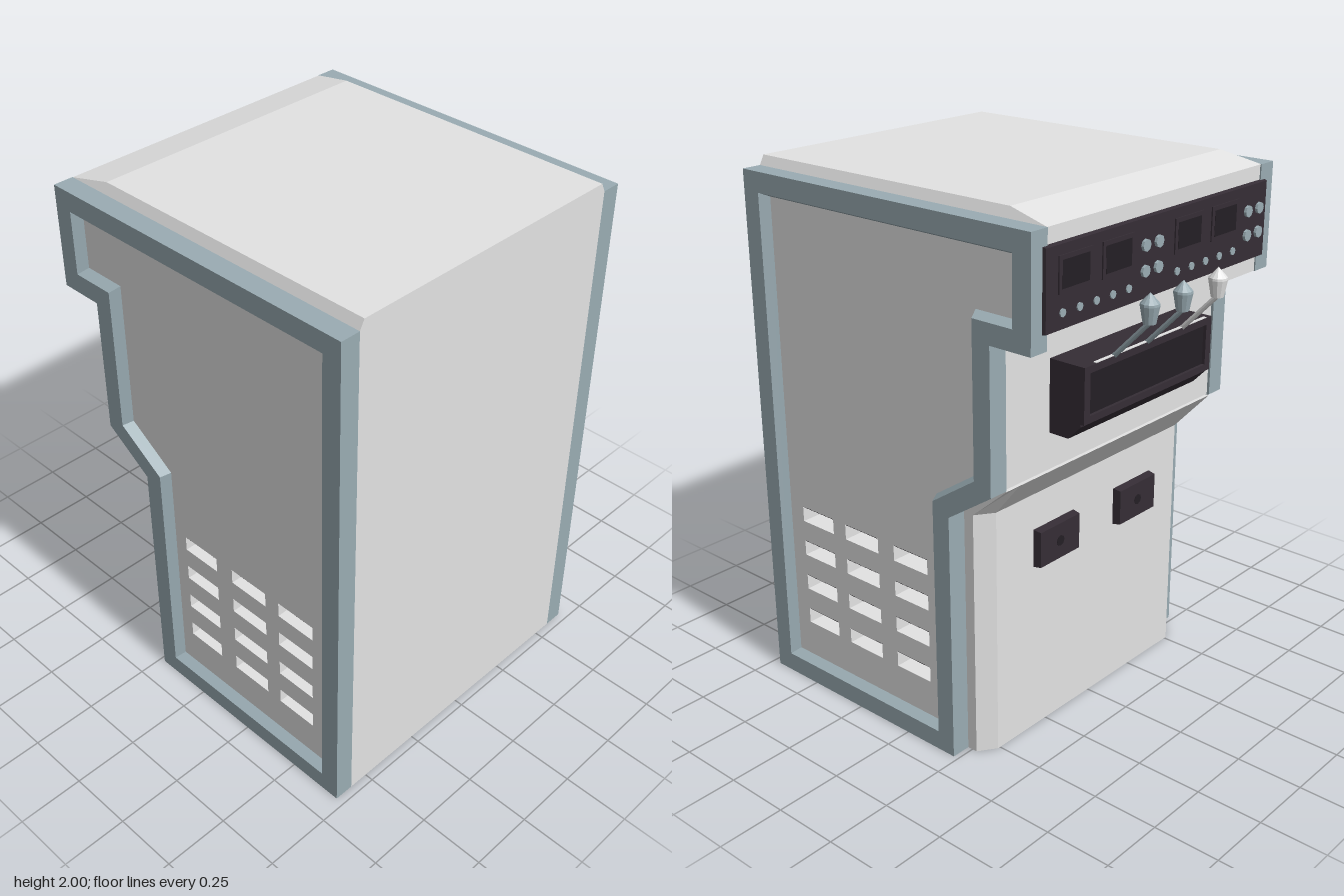
import * as THREE from 'three';

const paint = (name, color) => Object.assign(new THREE.MeshStandardMaterial({ color }), { name, flatShading: true });

export function createModel() {
  const root = new THREE.Group();
  root.name = 'controlCabinet';
  const grey = paint('lightGrey', 0xe3e3e3);
  const teal = paint('greyTeal', 0x9aacb3);
  const dark = paint('darkPlum', 0x352d35);
  const black = paint('nearBlack', 0x241f25);

  const add = (name, geo, mat, parent = root) => {
    const m = new THREE.Mesh(geo, mat);
    m.name = name;
    parent.add(m);
    return m;
  };
  const box = (name, mat, x0, x1, y0, y1, z0, z1) => {
    const m = add(name, new THREE.BoxGeometry(x1 - x0, y1 - y0, z1 - z0), mat);
    m.position.set((x0 + x1) / 2, (y0 + y1) / 2, (z0 + z1) / 2);
    return m;
  };
  const vec = (list) => list.map(([x, y]) => new THREE.Vector2(x, y));
  const prism = (pts, z0, z1, holes = []) => {
    const s = new THREE.Shape(pts);
    holes.forEach((h) => s.holes.push(new THREE.Path(h)));
    return new THREE.ExtrudeGeometry(s, { depth: z1 - z0, bevelEnabled: false }).translate(0, 0, z0);
  };
  // Moves a counter-clockwise outline inward by d
  const inset = (pts, d) => pts.map((p, i) => {
    const a = pts[(i + pts.length - 1) % pts.length], b = pts[(i + 1) % pts.length];
    const e = p.clone().sub(a).normalize(), f = b.clone().sub(p).normalize();
    const k = d / (1 + e.dot(f));
    return new THREE.Vector2(p.x - (e.y + f.y) * k, p.y + (e.x + f.x) * k);
  });
  const mesh3 = (pos, idx) => {
    let g = new THREE.BufferGeometry();
    g.setAttribute('position', new THREE.Float32BufferAttribute(pos, 3));
    g.setIndex(idx);
    g = g.toNonIndexed();
    g.computeVertexNormals();
    return g;
  };
  // Box whose outer -x face is shrunk by c on all sides
  const bevelPlate = (name, mat, x0, x1, y0, y1, z0, z1, c) => {
    const m = box(name, mat, x0, x1, y0, y1, z0, z1);
    const p = m.geometry.attributes.position;
    for (let i = 0; i < p.count; i++) if (p.getX(i) < 0) {
      p.setY(i, p.getY(i) - Math.sign(p.getY(i)) * c);
      p.setZ(i, p.getZ(i) - Math.sign(p.getZ(i)) * c);
    }
    m.geometry.computeVertexNormals();
  };

  // Body core
  const outline = (f) => vec([[-0.23 + f, 0], [0.717, 0], [0.717, 1.966], [-0.587 + f / 2, 1.966],
    [-0.587 + f / 2, 1.583], [-0.42 + f, 1.583], [-0.42 + f, 1.068], [-0.23 + f, 0.94]]);
  const W = 0.575, CORE = 0.52, PANEL = 0.612;
  add('bodyCore', prism(outline(0.01), -CORE, CORE), grey);

  // Side walls with vents, the frames around them and their recessed panels
  const cols = [[-0.085, 0.08], [0.16, 0.33], [0.395, 0.56]];
  const rows = [0.23, 0.375, 0.52, 0.66];
  const vents = cols.flatMap(([a, b]) => rows.map((y) => vec([[a, y], [a, y + 0.06], [b, y + 0.06], [b, y]])));
  const outer = outline(0), inner = inset(outer, 0.073), lip = inset(outer, 0.09);
  const n = outer.length;
  for (const s of [-1, 1]) {
    const range = (a, b) => (s > 0 ? [a, b] : [-b, -a]);
    add('sideWall', prism(outline(0.01), ...range(CORE, W), vents), grey);
    add('ventedPanel', prism(lip, ...range(W, PANEL), vents), grey);
    add('sideFrame', prism(outer, ...range(W, 0.65), [inner.slice().reverse()]), teal);
    const pos = [], idx = [];
    inner.forEach((p) => pos.push(p.x, p.y, s * 0.65));
    lip.forEach((p) => pos.push(p.x, p.y, s * PANEL));
    for (let i = 0; i < n; i++) {
      const j = (i + 1) % n;
      if (s > 0) idx.push(i, j, n + j, i, n + j, n + i);
      else idx.push(i, n + j, j, i, n + i, n + j);
    }
    add('frameInnerBevel', mesh3(pos, idx), teal);
    cols.forEach(([a, b], i) => {
      box('ventBacking', dark, a + (i === 1 ? 0.012 : -0.01), b + 0.01, 0.2, 0.75, ...range(CORE - 0.004, CORE + 0.002));
      for (const y of rows) box('ventCeiling', black, a, b, y + 0.057, y + 0.061, ...range(CORE, PANEL - 0.002));
    });
  }

  // Top cap, bevelled on the sides and sloping down to the control side
  const cap = box('topCap', grey, -0.585, 0.717, 1.966, 2, -W, W);
  const cp = cap.geometry.attributes.position;
  for (let i = 0; i < cp.count; i++) if (cp.getY(i) > 0) {
    cp.setZ(i, Math.sign(cp.getZ(i)) * 0.557);
    if (cp.getX(i) < 0) cp.setX(i, cp.getX(i) + 0.16);
  }
  cap.geometry.computeVertexNormals();

  // Lower front with chamfered corners, running up into a slope
  const pos = [], idx = [];
  for (const [y, c, f] of [[0, -0.27, -0.315], [0.935, -0.27, -0.315], [1.065, -0.42, -0.42]])
    for (const [x, z] of [[-0.2, -W], [c, -W], [f, -0.51], [f, 0.51], [c, W], [-0.2, W]]) pos.push(x, y, z);
  for (let r = 0; r < 2; r++) for (let i = 0; i < 5; i++) {
    const a = r * 6 + i;
    idx.push(a, a + 1, a + 7, a, a + 7, a + 6);
  }
  for (let i = 1; i < 5; i++) idx.push(0, i + 1, i, 12, 12 + i, 13 + i);
  add('lowerFront', mesh3(pos, idx), grey);

  const round = (name, mat, r, x, len, y, z) => {
    const m = add(name, new THREE.CylinderGeometry(r, r, len, 8).rotateZ(Math.PI / 2), mat);
    m.position.set(x, y, z);
  };

  // Two button plates on the lower front
  for (const z of [-0.21, 0.24]) {
    bevelPlate('buttonPlate', dark, -0.347, -0.31, 0.655, 0.8, z - 0.11, z + 0.11, 0.005);
    round('plateButton', black, 0.02, -0.346, 0.006, 0.728, z);
  }

  // Upper control panel: two halves with screens, buttons and dials
  bevelPlate('controlPanel', dark, -0.599, -0.58, 1.638, 1.912, -0.6, 0.6, 0.004);
  for (const o of [-0.54, 0.05]) {
    for (const z of [o, o + 0.21]) {
      box('screenBezel', dark, -0.604, -0.598, 1.755, 1.875, z, z + 0.16);
      box('screen', black, -0.605, -0.603, 1.77, 1.86, z + 0.015, z + 0.145);
    }
    for (let i = 0; i < 5; i++) round('smallButton', teal, 0.014, -0.6, 0.008, 1.695, o + 0.02 + i * 0.082);
    for (const z of [o + 0.43, o + 0.5]) for (const y of [1.735, 1.82])
      round('dial', teal, 0.021, -0.602, 0.014, y, z);
  }

  // Lever box with bezel, recessed face and a light strip along its top edge
  const leverBox = vec([[-0.4, 1.2], [-0.4, 1.46], [-0.54, 1.46], [-0.54, 1.252], [-0.49, 1.2]]);
  add('leverBox', prism(leverBox, -0.35, 0.36), dark);
  box('leverBezelLeft', dark, -0.555, -0.538, 1.262, 1.46, 0.33, 0.36);
  box('leverBezelRight', dark, -0.555, -0.538, 1.262, 1.46, -0.35, -0.32);
  box('leverBezelTop', dark, -0.555, -0.538, 1.435, 1.46, -0.33, 0.34);
  box('leverBezelBottom', dark, -0.555, -0.538, 1.262, 1.287, -0.33, 0.34);
  box('leverFace', black, -0.543, -0.539, 1.28, 1.44, -0.325, 0.335);
  box('leverStrip', grey, -0.553, -0.541, 1.458, 1.463, -0.29, 0.33);

  // Three levers with pointed knobs
  const knob = vec([[0, 0], [0.022, 0], [0.033, 0.06], [0.032, 0.068], [0, 0.103]]);
  [[-0.19, teal], [-0.01, teal], [0.19, grey]].forEach(([z, mat]) => {
    const lever = new THREE.Group();
    lever.name = 'lever';
    root.add(lever);
    const a = new THREE.Vector3(-0.535, 1.445, z), b = new THREE.Vector3(-0.687, 1.602, z);
    const d = b.clone().sub(a);
    const rod = add('leverRod', new THREE.CylinderGeometry(0.009, 0.009, d.length(), 8), mat, lever);
    rod.position.copy(a).addScaledVector(d, 0.5);
    rod.quaternion.setFromUnitVectors(new THREE.Vector3(0, 1, 0), d.normalize());
    add('leverKnob', new THREE.LatheGeometry(knob, 12), mat, lever).position.set(-0.684, 1.597, z);
  });
  return root;
}
